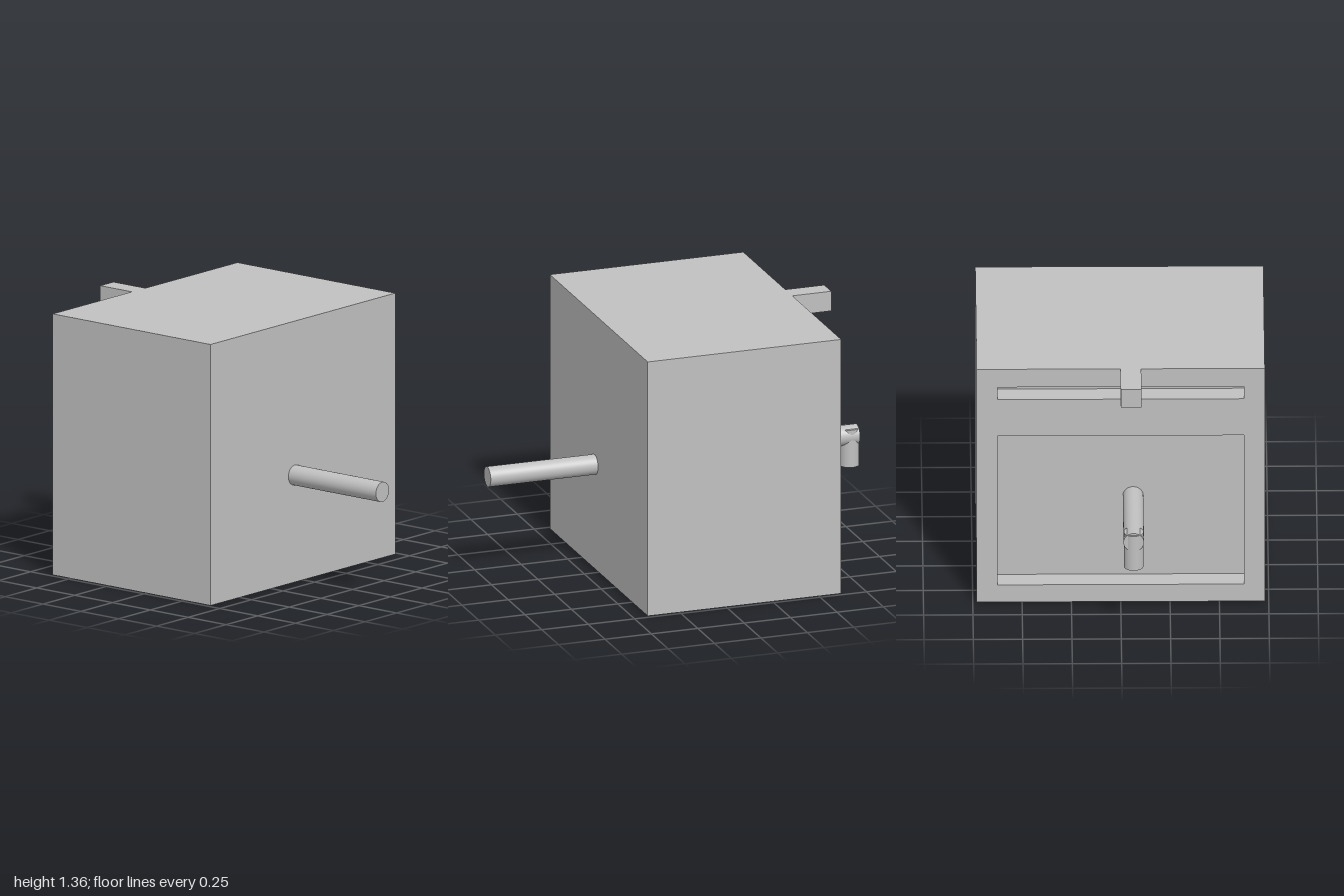
import * as THREE from 'three';

export function createModel() {
  const model = new THREE.Group();
  const grey = new THREE.MeshStandardMaterial({ color: 0xc0c0c0 });
  grey.name = 'light grey';

  const add = (name, geometry, x, y, z) => {
    const mesh = new THREE.Mesh(geometry, grey);
    mesh.name = name;
    mesh.position.set(x, y, z);
    model.add(mesh);
    return mesh;
  };

  const left = -0.62, right = 0.422, height = 1.36, halfDepth = 0.73, recess = 0.107;
  const wall = left + recess;

  // Solid body behind the recessed face
  add('body', new THREE.BoxGeometry(right - wall, height, halfDepth * 2),
    (right + wall) / 2, height / 2, 0);

  // Framed face with a large opening and a narrow slot above it
  const rectangle = (target, z0, z1, y0, y1) => {
    target.moveTo(z0, y0);
    target.lineTo(z1, y0);
    target.lineTo(z1, y1);
    target.lineTo(z0, y1);
    target.closePath();
    return target;
  };
  const face = rectangle(new THREE.Shape(), -halfDepth, halfDepth, 0, height);
  face.holes.push(
    rectangle(new THREE.Path(), -0.625, 0.625, 0.1, 0.97),
    rectangle(new THREE.Path(), -0.625, 0.625, 1.183, 1.255));
  const frame = new THREE.ExtrudeGeometry(face, { depth: recess, bevelEnabled: false });
  frame.rotateY(-Math.PI / 2);
  add('frame', frame, wall, 0, 0);

  // Tab projecting from the top edge
  add('tab', new THREE.BoxGeometry(0.21, 0.105, 0.105), left - 0.105, height - 0.0525, 0.051);

  // Horizontal shafts on both sides and the downturned handle
  const shaftY = 0.558, shaftZ = 0.063, radius = 0.052;
  const shaft = (name, x0, x1) => {
    const mesh = add(name, new THREE.CylinderGeometry(radius, radius, x1 - x0, 48),
      (x0 + x1) / 2, shaftY, shaftZ);
    mesh.rotation.z = Math.PI / 2;
  };
  shaft('outputShaft', right, 1);
  shaft('handleShaft', -0.99, wall);
  add('handleGrip', new THREE.CylinderGeometry(0.05, 0.05, 0.2, 48), -0.95, 0.498, shaftZ);

  return model;
}
